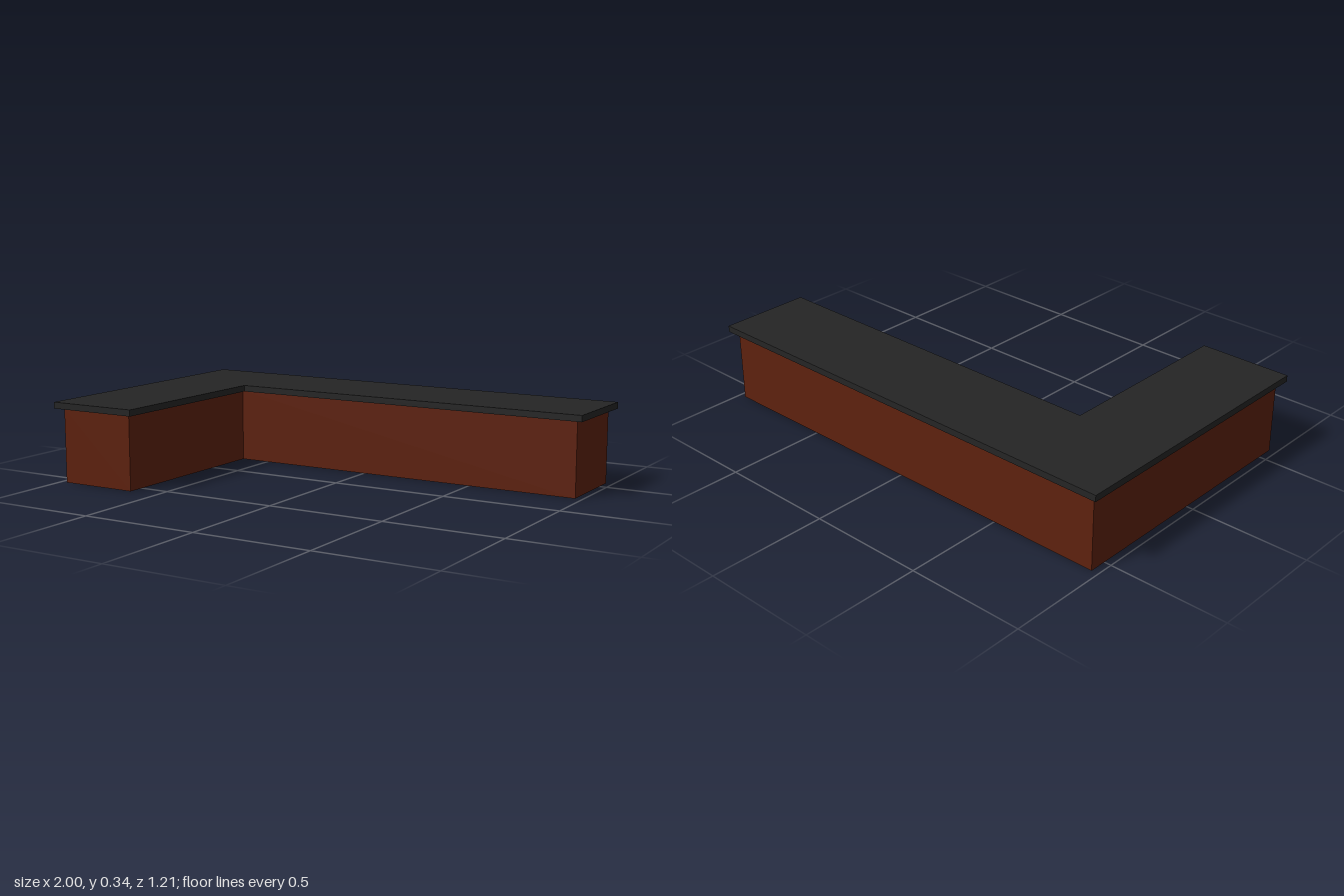
import * as THREE from 'three';

// L-shaped slab: outline inset from the worktop edge, extruded upwards from y
function lSlab(name, inset, y, height, color) {
  const left = -1 + inset, right = 1 - inset;
  const back = -0.603 + inset, front = 0.603 - inset;
  const innerX = -0.6 - inset, innerZ = -0.203 - inset;
  const outline = [
    [left, front], [innerX, front], [innerX, innerZ],
    [right, innerZ], [right, back], [left, back],
  ];
  // shape y is -z, so the extrusion stands upright after the turn
  const shape = new THREE.Shape(outline.map(([x, z]) => new THREE.Vector2(x, -z)));
  const geometry = new THREE.ExtrudeGeometry(shape, { depth: height, bevelEnabled: false });
  geometry.rotateX(-Math.PI / 2);
  const mesh = new THREE.Mesh(geometry, new THREE.MeshStandardMaterial({ color }));
  mesh.name = name;
  mesh.position.y = y;
  return mesh;
}

export function createModel() {
  const group = new THREE.Group();
  group.name = 'cornerCounter';
  group.add(
    lSlab('counterBase', 0.03, 0, 0.315, 0x5e210e), // wooden body
    lSlab('counterTop', 0, 0.315, 0.027, 0x252525), // overhanging dark worktop
  );
  return group;
}
